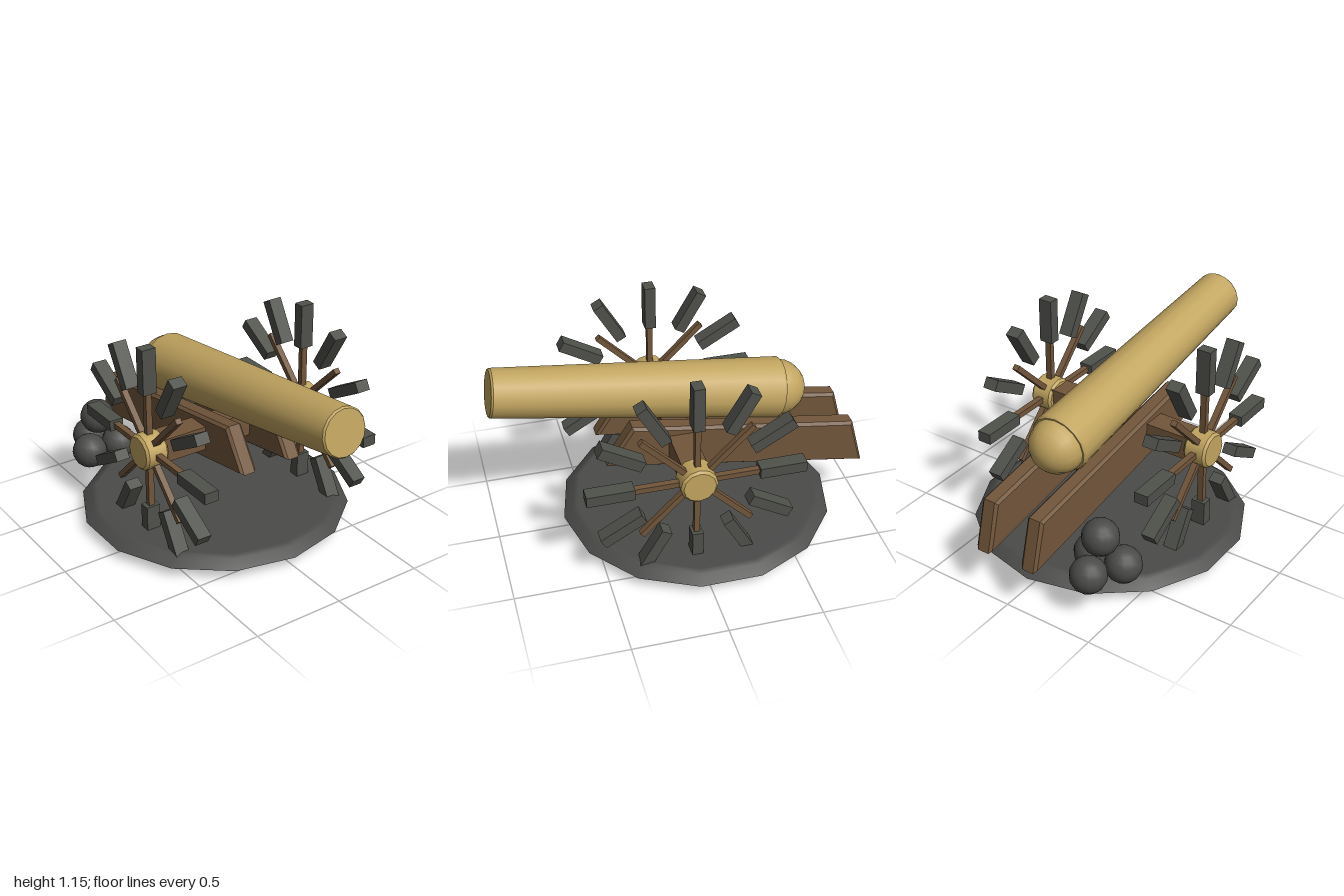
import * as THREE from 'three';

const mat = (name, color) => {
  const m = new THREE.MeshStandardMaterial({ color });
  m.name = name;
  return m;
};

// Lathe from [radius, height] pairs; repeat a pair to keep that edge sharp.
const lathe = (pairs, sides) =>
  new THREE.LatheGeometry(pairs.map(([r, y]) => new THREE.Vector2(r, y)), sides);

export function createModel() {
  const brass = mat('brass', 0xc2a560);
  const wood = mat('wood', 0x72563b);
  const rimIron = mat('rimIron', 0x4f514b);
  const iron = mat('iron', 0x4b4b4a);

  const model = new THREE.Group();
  model.name = 'fieldCannon';
  const add = (parent, name, geometry, material, x = 0, y = 0, z = 0) => {
    const mesh = new THREE.Mesh(geometry, material);
    mesh.name = name;
    mesh.position.set(x, y, z);
    parent.add(mesh);
    return mesh;
  };

  // Ground plate: fourteen-sided disc with a sloping rim
  add(model, 'groundPlate', lathe([
    [0, 0.06], [0.74, 0.06], [0.74, 0.06], [0.69, 0.1], [0.66, 0.112], [0, 0.112],
  ], 14), iron, 0, 0, -0.1);

  // Barrel: tapered tube with a solid muzzle and a domed breech
  const barrel = new THREE.Group();
  barrel.name = 'barrel';
  barrel.position.set(0, 0.716, -0.55);
  barrel.rotation.x = THREE.MathUtils.degToRad(81.5);
  model.add(barrel);
  add(barrel, 'barrelTube', lathe([
    [0, 0], [0.158, 0], [0.158, 0], [0.165, 0.012], [0.165, 0.012],
    [0.129, 1.54], [0.129, 1.54], [0.121, 1.55], [0.121, 1.55], [0, 1.55],
  ], 16), brass);
  add(barrel, 'breechDome', new THREE.SphereGeometry(0.15, 16, 12), brass);

  // Carriage cheeks: bevelled planks sloping down to the rear
  const bevel = 0.015;
  const width = 0.095;
  const profile = new THREE.Shape([
    [0.425, 0.503], [0.285, 0.722], [-0.93, 0.537], [-1, 0.27],
  ].map(([z, y]) => new THREE.Vector2(z, y)));
  const cheek = new THREE.ExtrudeGeometry(profile, {
    depth: width - 2 * bevel, bevelEnabled: true, bevelSegments: 1,
    bevelSize: bevel, bevelThickness: bevel, bevelOffset: -bevel,
  });
  cheek.translate(0, 0, bevel - width / 2);
  cheek.rotateY(-Math.PI / 2);
  add(model, 'leftCheek', cheek, wood, 0.14);
  add(model, 'rightCheek', cheek, wood, -0.14);

  // Axle and the elevating screw below the breech
  const axleY = 0.575, axleZ = 0.03;
  add(model, 'axle', new THREE.BoxGeometry(0.88, 0.132, 0.132), wood, 0, axleY, axleZ);
  add(model, 'elevatingScrew', lathe([
    [0, 0], [0.03, 0], [0.03, 0], [0.037, 0.01], [0.037, 0.01], [0.037, 0.22], [0, 0.22],
  ], 10), iron, 0, 0.412, -0.35);

  // Wheels: chamfered hub, eight spokes and twelve separate rim blocks
  const hubGeometry = lathe([
    [0, -0.065], [0.085, -0.065], [0.085, -0.065], [0.098, -0.052], [0.098, -0.052],
    [0.098, 0.052], [0.098, 0.052], [0.085, 0.065], [0.085, 0.065], [0, 0.065],
  ], 12).rotateZ(Math.PI / 2);
  const spokeGeometry = new THREE.BoxGeometry(0.034, 0.41, 0.03).translate(0, 0.205, 0);
  const blockGeometry = new THREE.BoxGeometry(0.078, 0.248, 0.059).translate(0, 0.45, 0);
  for (const [name, side] of [['leftWheel', 1], ['rightWheel', -1]]) {
    const wheel = new THREE.Group();
    wheel.name = name;
    wheel.position.set(side * 0.493, axleY, axleZ);
    model.add(wheel);
    add(wheel, 'hub', hubGeometry, brass);
    for (let i = 0; i < 8; i++) {
      add(wheel, 'spoke', spokeGeometry, wood).rotation.x = i * Math.PI / 4;
    }
    for (let i = 0; i < 12; i++) {
      add(wheel, 'rimBlock', blockGeometry, rimIron).rotation.x = i * Math.PI / 6;
    }
  }

  // Stack of cannonballs
  const ball = new THREE.SphereGeometry(0.097, 14, 10);
  for (const [x, y, z] of [
    [-0.47, 0.245, -0.658], [-0.283, 0.245, -0.658], [-0.377, 0.245, -0.825], [-0.377, 0.41, -0.72],
  ]) add(model, 'cannonball', ball, iron, x, y, z);

  return model;
}
